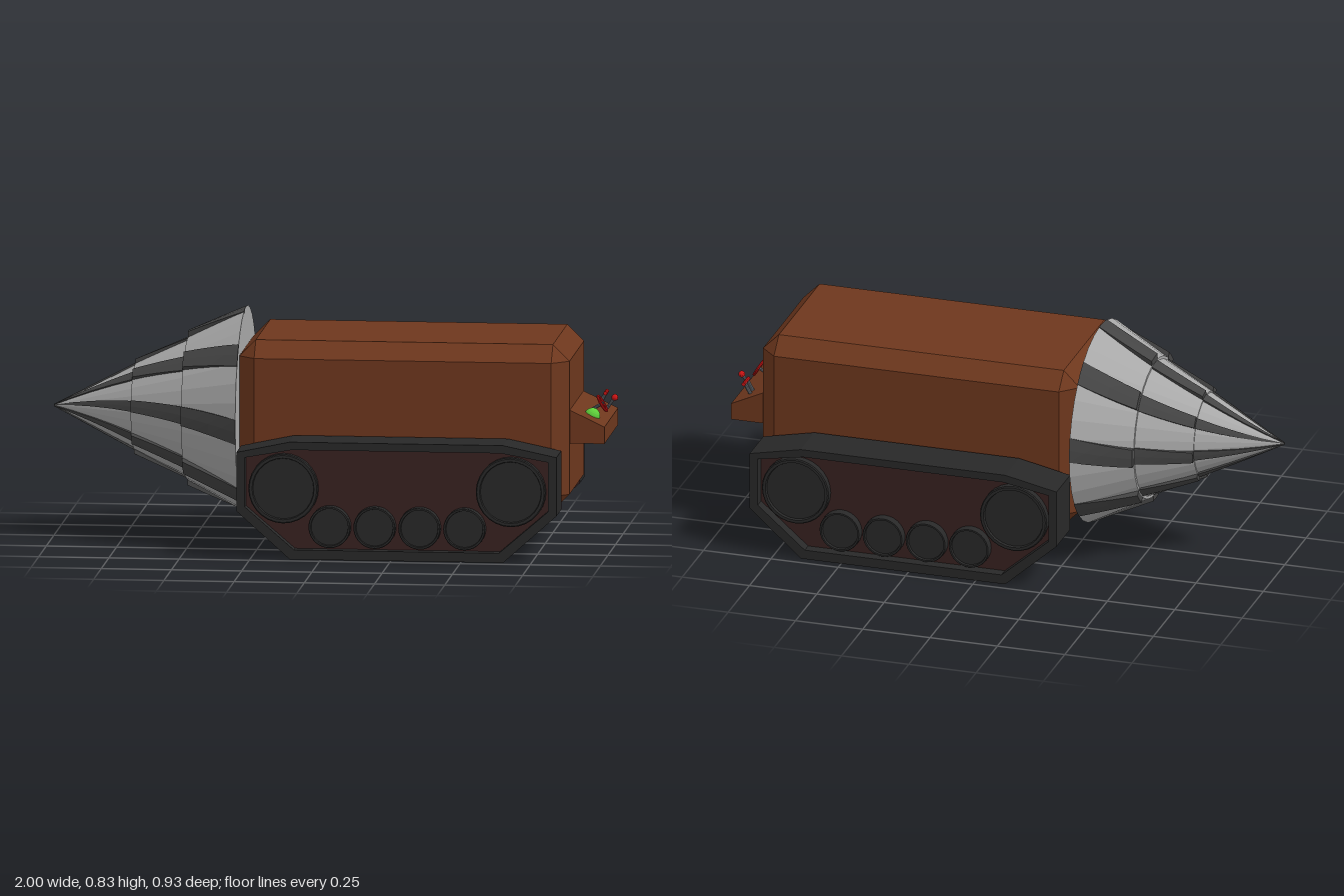
import * as THREE from 'three';
import { ConvexGeometry } from 'three/addons/geometries/ConvexGeometry.js';

const mat = (color) => new THREE.MeshStandardMaterial({ color, flatShading: true });
const brown = mat(0x6e371d), steel = mat(0xa8a8a8), darkSteel = mat(0x444444);
const rubber = mat(0x282828), panelBrown = mat(0x382120), red = mat(0xcc1414);
const green = mat(0x5fd03a), grey = mat(0x666a70);

function add(parent, name, geometry, material, x = 0, y = 0, z = 0) {
  const mesh = new THREE.Mesh(geometry, material);
  mesh.name = name;
  mesh.position.set(x, y, z);
  parent.add(mesh);
  return mesh;
}

function shapeOf(points) {
  return new THREE.Shape(points.map(([x, y]) => new THREE.Vector2(x, y)));
}

function extrude(shape, depth) {
  return new THREE.ExtrudeGeometry(shape, { depth, bevelEnabled: false });
}

function lathe(points, segments) {
  return new THREE.LatheGeometry(points.map(([r, y]) => new THREE.Vector2(r, y)), segments);
}

// Cylinder between two points
function rod(parent, name, a, b, radius, material) {
  const from = new THREE.Vector3(...a), to = new THREE.Vector3(...b);
  const dir = to.clone().sub(from);
  const mesh = add(parent, name, new THREE.CylinderGeometry(radius, radius, dir.length(), 10), material);
  mesh.position.copy(from).add(to).multiplyScalar(0.5);
  mesh.quaternion.setFromUnitVectors(new THREE.Vector3(0, 1, 0), dir.normalize());
  return mesh;
}

// Box with every edge and corner cut
function chamferedBox(w, h, d, c) {
  const points = [];
  for (const x of [-1, 1]) for (const y of [-1, 1]) for (const z of [-1, 1]) {
    for (let axis = 0; axis < 3; axis++) {
      const cut = [c, c, c];
      cut[axis] = 0;
      points.push(new THREE.Vector3(x * (w / 2 - cut[0]), y * (h / 2 - cut[1]), z * (d / 2 - cut[2])));
    }
  }
  return new ConvexGeometry(points);
}

// Stepped cone with eight twisted blades, tip towards -x
function buildDrill() {
  const drill = new THREE.Group();
  drill.name = 'drill';
  drill.position.y = 0.467;
  const steps = [
    { x0: -1, x1: -0.71, r0: 0, r1: 0.148, lift0: 0.004, lift1: 0.007 },
    { x0: -0.71, x1: -0.52, r0: 0.153, r1: 0.246, lift0: 0.016, lift1: 0.006 },
    { x0: -0.52, x1: -0.315, r0: 0.256, r1: 0.365, lift0: 0.02, lift1: 0.001 },
  ];
  const profile = [[0, 0.315]];
  for (const s of [...steps].reverse()) profile.push([s.r1, -s.x1], [s.r0, -s.x0]);
  add(drill, 'drillCone', lathe(profile, 32), steel).rotation.z = Math.PI / 2;

  for (const s of steps) {
    for (let i = 0; i < 8; i++) {
      const blade = new THREE.BoxGeometry(1, 1, 1, 4, 1, 2);
      const p = blade.attributes.position;
      for (let k = 0; k < p.count; k++) {
        const t = p.getX(k) + 0.5;
        const x = THREE.MathUtils.lerp(s.x0, s.x1, t);
        const cone = THREE.MathUtils.lerp(s.r0, s.r1, t);
        const lift = p.getY(k) > 0 ? THREE.MathUtils.lerp(s.lift0, s.lift1, t) : -0.012;
        const r = Math.max(0, cone + lift);
        const twist = 0.42 * (x + 0.315) / 0.685;
        const a = 0.09 + i * Math.PI / 4 + twist + p.getZ(k) * 0.25;
        p.setXYZ(k, x, r * Math.cos(a), r * Math.sin(a));
      }
      blade.computeVertexNormals();
      add(drill, 'drillBlade', blade, darkSteel);
    }
  }
  return drill;
}

// Track unit facing +z, centred on its own length
function buildTrack() {
  const track = new THREE.Group();
  const outer = [[-0.57, 0.17], [-0.38, 0], [0.38, 0], [0.57, 0.17],
    [0.57, 0.38], [0.38, 0.42], [-0.38, 0.42], [-0.57, 0.38]];
  const inner = [[-0.54, 0.185], [-0.365, 0.034], [0.365, 0.034], [0.54, 0.185],
    [0.54, 0.362], [0.372, 0.392], [-0.372, 0.392], [-0.54, 0.362]];
  const belt = shapeOf(outer);
  belt.holes.push(shapeOf(inner));
  add(track, 'trackBelt', extrude(belt, 0.158), rubber, 0, 0, 0.307);
  add(track, 'trackPanel', extrude(shapeOf(inner), 0.118), panelBrown, 0, 0, 0.307);
  add(track, 'trackInnerPlate', extrude(shapeOf(outer), 0.002), panelBrown, 0, 0, 0.305);

  // Dished wheels
  const wheel = (name, x, y, r) => {
    const profile = [[r, 0], [r, 0.026], [r * 0.97, 0.03], [r * 0.89, 0.03], [r * 0.87, 0.02], [0, 0.02]];
    add(track, name, lathe(profile, 28), rubber, x, y, 0.424).rotation.x = Math.PI / 2;
  };
  for (const x of [-0.405, 0.405]) wheel('driveWheel', x, 0.25, 0.124);
  for (let i = 0; i < 4; i++) wheel('roadWheel', -0.24 + i * 0.16, 0.115, 0.075);
  return track;
}

// Sloped desk at the rear end with its controls
function buildConsole() {
  const desk = new THREE.Group();
  desk.name = 'controlConsole';
  const profile = shapeOf([[0.85, 0.395], [0.985, 0.395], [0.985, 0.455], [0.86, 0.515], [0.85, 0.515]]);
  add(desk, 'consoleDesk', extrude(profile, 0.452), brown, 0, 0, -0.226);

  const dome = new THREE.SphereGeometry(0.028, 14, 6, 0, Math.PI * 2, 0, Math.PI / 2);
  add(desk, 'greenButton', dome, green, 0.93, 0.479, 0.115).rotation.z = -0.45;

  // Hand wheel, its axis along local +z
  const wheel = new THREE.Group();
  wheel.name = 'handWheel';
  wheel.position.set(0.953, 0.505, 0);
  wheel.lookAt(0.953 + 0.83, 0.505 + 0.5, 0);
  add(wheel, 'wheelRim', new THREE.TorusGeometry(0.03, 0.005, 8, 24), red);
  for (let i = 0; i < 5; i++) {
    const a = Math.PI / 2 + i * Math.PI * 0.4;
    rod(wheel, 'wheelSpoke', [0, 0, 0], [0.03 * Math.cos(a), 0.03 * Math.sin(a), 0], 0.0035, red);
  }
  rod(wheel, 'wheelColumn', [0, 0, -0.045], [0, 0, 0.006], 0.006, grey);
  desk.add(wheel);

  // Ball lever
  rod(desk, 'leverStem', [0.95, 0.46, -0.09], [0.985, 0.51, -0.09], 0.006, grey);
  add(desk, 'leverBall', new THREE.SphereGeometry(0.012, 12, 8), red, 0.988, 0.513, -0.09);

  // Twin throttle
  for (const z of [-0.149, -0.177]) rod(desk, 'throttleStem', [0.925, 0.475, z], [0.948, 0.518, z], 0.007, grey);
  rod(desk, 'throttleHandle', [0.949, 0.52, -0.134], [0.949, 0.52, -0.193], 0.007, red);
  return desk;
}

export function createModel() {
  const model = new THREE.Group();
  model.name = 'drillVehicle';
  add(model, 'hull', chamferedBox(1.176, 0.595, 0.594, 0.059), brown, 0.274, 0.4525, 0);
  model.add(buildDrill(), buildConsole());
  for (const [name, turn] of [['frontTrack', 0], ['backTrack', Math.PI]]) {
    const track = buildTrack();
    track.name = name;
    track.position.x = 0.27;
    track.rotation.y = turn;
    model.add(track);
  }
  return model;
}
